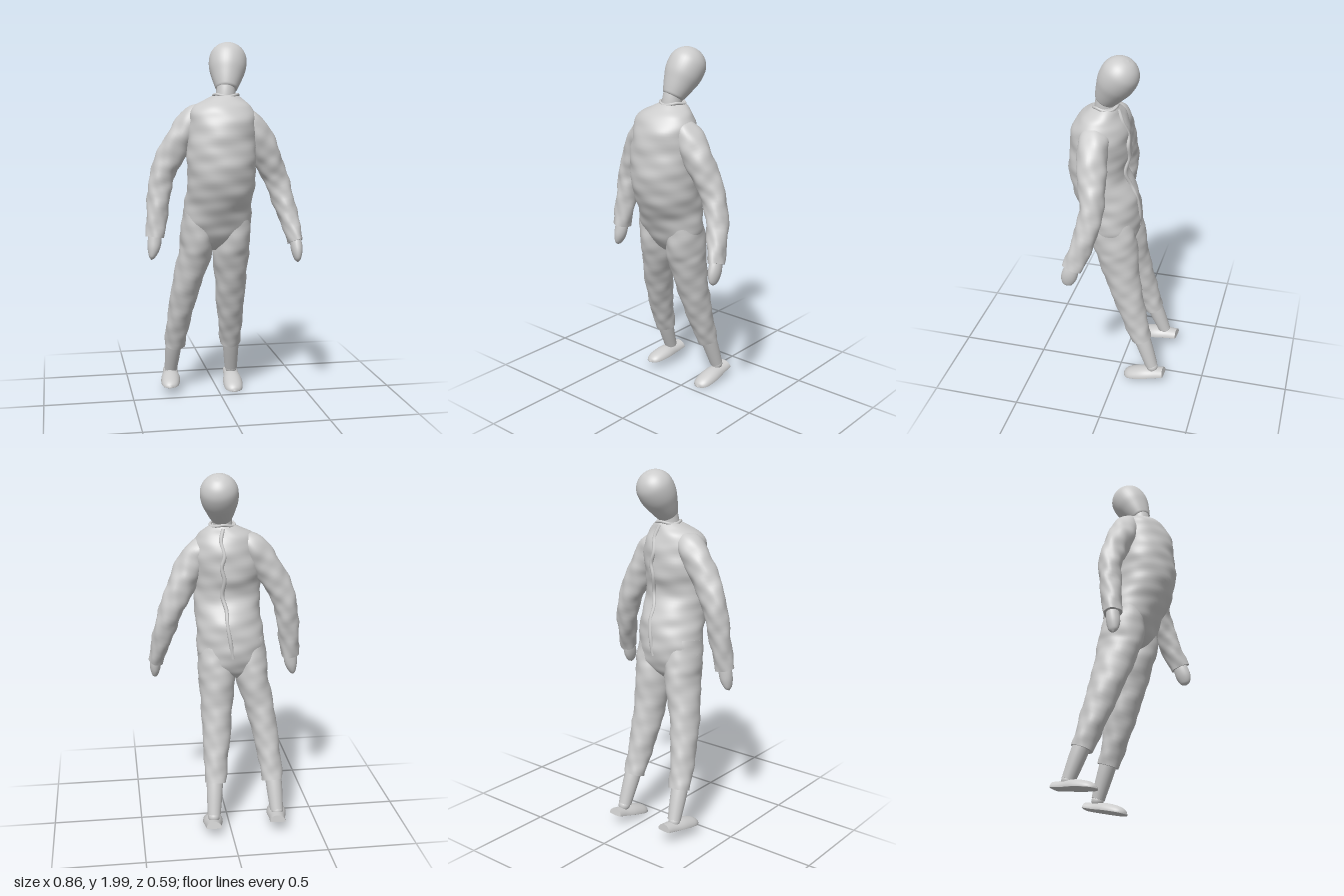
import * as THREE from 'three';

const material = new THREE.MeshStandardMaterial({ color: 0xcccccc });

// Skin elliptical sections [x, y, z, ru, rv] along a smooth path.
// level: keep rings horizontal; fold: cloth wrinkle depth; flat: flatten the underside.
function loft(name, sections, { level = false, fold = 0, flat = false, sides = 40, step = 6 } = {}) {
  const path = new THREE.CatmullRomCurve3(sections.map(s => new THREE.Vector3(s[0], s[1], s[2])), false, 'catmullrom', 0.5);
  const size = new THREE.CatmullRomCurve3(sections.map(s => new THREE.Vector3(s[3], s[4], 0)), false, 'catmullrom', 0.5);
  const rows = (sections.length - 1) * step;
  const pos = [], index = [];
  for (let i = 0; i <= rows; i++) {
    const c = path.getPoint(i / rows), r = size.getPoint(i / rows);
    const t = level ? new THREE.Vector3(0, -1, 0) : path.getTangent(i / rows);
    const u = new THREE.Vector3(1, 0, 0).addScaledVector(t, -t.x).normalize();
    const v = new THREE.Vector3().crossVectors(t, u);
    for (let j = 0; j < sides; j++) {
      const a = j / sides * Math.PI * 2;
      const w = fold * (Math.sin(3 * a + 31 * c.y) + 0.7 * Math.sin(5 * a - 47 * c.y + 1) + 0.5 * Math.sin(2 * a + 83 * c.y));
      const sn = flat && j > sides / 2 ? Math.sin(a) * 0.12 : Math.sin(a);
      const p = c.clone()
        .addScaledVector(u, Math.cos(a) * (Math.max(r.x, 0.001) + w))
        .addScaledVector(v, sn * (Math.max(r.y, 0.001) + w));
      pos.push(p.x, p.y, p.z);
      if (i < rows) {
        const k = i * sides, n = (j + 1) % sides;
        index.push(k + j, k + n, k + sides + j, k + n, k + sides + n, k + sides + j);
      }
    }
  }
  // Flat end caps with their own vertices
  for (const row of [0, rows]) {
    const base = pos.length / 3, c = path.getPoint(row / rows);
    for (let j = 0; j < sides * 3; j++) pos.push(pos[row * sides * 3 + j]);
    pos.push(c.x, c.y, c.z);
    for (let j = 0; j < sides; j++) {
      const a = base + j, b = base + (j + 1) % sides, m = base + sides;
      index.push(...(row ? [a, b, m] : [b, a, m]));
    }
  }
  const g = new THREE.BufferGeometry();
  g.setAttribute('position', new THREE.Float32BufferAttribute(pos, 3));
  g.setIndex(index);
  g.computeVertexNormals();
  const mesh = new THREE.Mesh(g, material);
  mesh.name = name;
  return mesh;
}

function tube(name, points, radius, closed = false) {
  const curve = new THREE.CatmullRomCurve3(points.map(p => new THREE.Vector3(...p)), closed);
  const mesh = new THREE.Mesh(new THREE.TubeGeometry(curve, 80, radius, 8, closed), material);
  mesh.name = name;
  return mesh;
}

export function createModel() {
  const model = new THREE.Group();
  model.name = 'mannequin';

  // Egg-shaped head leaning forward, narrowing to the chin
  const axis = new THREE.Vector3(-0.13, -0.85, 0.48).normalize();
  const headProfile = [[-0.105, 0.002], [-0.098, 0.038], [-0.075, 0.073], [-0.04, 0.096], [0, 0.103],
    [0.05, 0.099], [0.1, 0.084], [0.15, 0.066], [0.172, 0.054], [0.178, 0.03]];
  model.add(loft('head', headProfile.map(([t, r]) =>
    [0.037 + axis.x * t, 1.895 + axis.y * t, axis.z * t, r, r])));
  model.add(loft('neck', [[0.014, 1.78, 0.075, 0.05, 0.05], [0.01, 1.73, 0.085, 0.052, 0.052], [0.005, 1.66, 0.09, 0.056, 0.056]]));

  // Suit body: full chest, pulled in at the back of the waist
  model.add(loft('suitBody', [
    [0.012, 1.715, 0.08, 0.065, 0.062],
    [0, 1.69, 0.09, 0.105, 0.09],
    [-0.015, 1.65, 0.105, 0.16, 0.122],
    [-0.012, 1.58, 0.112, 0.182, 0.155],
    [-0.02, 1.45, 0.118, 0.187, 0.167],
    [-0.02, 1.33, 0.13, 0.186, 0.16],
    [-0.02, 1.2, 0.09, 0.184, 0.176],
    [-0.03, 1.1, 0.055, 0.187, 0.16],
    [-0.035, 1.0, 0.035, 0.193, 0.138],
    [-0.042, 0.92, 0.022, 0.165, 0.105],
    [-0.05, 0.865, 0.015, 0.08, 0.05],
  ], { level: true, fold: 0.0025, sides: 64, step: 8 }));

  // Collar and the gathered closure down the back
  const collar = [];
  for (let i = 0; i < 12; i++) {
    const a = i / 12 * Math.PI * 2;
    collar.push([0.011 + 0.067 * Math.cos(a), 1.713 + 0.006 * Math.sin(3 * a), 0.081 + 0.064 * Math.sin(a)]);
  }
  model.add(tube('collar', collar, 0.008, true));
  model.add(tube('backClosure', [[0.015, 1.7, 0.01], [0.03, 1.64, -0.015], [0.015, 1.56, -0.043], [0.03, 1.5, -0.046],
    [0.015, 1.43, -0.047], [0.025, 1.34, -0.028], [0.005, 1.26, -0.055], [0.005, 1.2, -0.083],
    [-0.01, 1.1, -0.102], [-0.025, 1.0, -0.1]], 0.011));

  // The pose differs on each side, so every limb has its own path
  const limbs = {
    right: {
      sleeve: [[-0.08, 1.63, 0.075, 0.04, 0.05], [-0.15, 1.595, 0.065, 0.072, 0.078], [-0.22, 1.5, 0.06, 0.079, 0.075],
        [-0.29, 1.385, 0.05, 0.075, 0.066], [-0.335, 1.28, 0.045, 0.066, 0.062], [-0.356, 1.15, 0.055, 0.062, 0.058],
        [-0.38, 0.95, 0.08, 0.051, 0.05]],
      hand: [[-0.378, 0.98, 0.078, 0.033, 0.033], [-0.382, 0.93, 0.083, 0.038, 0.036], [-0.389, 0.885, 0.088, 0.033, 0.036],
        [-0.398, 0.845, 0.092, 0.018, 0.025], [-0.403, 0.828, 0.094, 0.003, 0.004]],
      trouser: [[-0.13, 1.08, 0.05, 0.09, 0.11], [-0.14, 0.95, 0.03, 0.093, 0.125], [-0.148, 0.85, 0.01, 0.09, 0.12],
        [-0.185, 0.7, -0.02, 0.081, 0.1], [-0.213, 0.55, -0.06, 0.072, 0.085], [-0.235, 0.4, -0.105, 0.064, 0.07],
        [-0.246, 0.28, -0.145, 0.06, 0.057]],
      shin: [[-0.248, 0.34, -0.128, 0.047, 0.047], [-0.255, 0.24, -0.165, 0.045, 0.045], [-0.262, 0.12, -0.21, 0.037, 0.036]],
      ankle: [-0.265, 0.115, -0.213],
      foot: [[-0.255, 0.085, -0.293, 0.043, 0.036], [-0.262, 0.076, -0.23, 0.046, 0.042], [-0.27, 0.068, -0.16, 0.055, 0.047],
        [-0.28, 0.058, -0.09, 0.05, 0.038], [-0.285, 0.053, -0.055, 0.033, 0.023], [-0.286, 0.051, -0.04, 0.005, 0.005]],
    },
    left: {
      sleeve: [[0.07, 1.61, 0.1, 0.04, 0.05], [0.135, 1.565, 0.11, 0.072, 0.078], [0.2, 1.46, 0.108, 0.079, 0.08],
        [0.245, 1.36, 0.095, 0.076, 0.074], [0.295, 1.25, 0.085, 0.067, 0.064], [0.342, 1.1, 0.11, 0.058, 0.062],
        [0.385, 0.92, 0.172, 0.04, 0.055]],
      hand: [[0.382, 0.95, 0.165, 0.028, 0.036], [0.387, 0.9, 0.18, 0.032, 0.043], [0.389, 0.86, 0.192, 0.028, 0.042],
        [0.39, 0.825, 0.2, 0.017, 0.028], [0.39, 0.81, 0.203, 0.003, 0.004]],
      trouser: [[0.06, 1.08, 0.05, 0.092, 0.11], [0.058, 0.95, 0.03, 0.1, 0.125], [0.052, 0.85, 0.01, 0.103, 0.12],
        [0.058, 0.7, -0.02, 0.089, 0.1], [0.063, 0.55, -0.06, 0.08, 0.085], [0.073, 0.4, -0.105, 0.067, 0.07],
        [0.08, 0.28, -0.145, 0.06, 0.057]],
      shin: [[0.082, 0.34, -0.128, 0.047, 0.047], [0.088, 0.24, -0.165, 0.045, 0.045], [0.097, 0.11, -0.21, 0.037, 0.036]],
      ankle: [0.099, 0.1, -0.215],
      foot: [[0.106, 0.066, -0.288, 0.043, 0.036], [0.103, 0.051, -0.23, 0.046, 0.042], [0.098, 0.035, -0.16, 0.056, 0.048],
        [0.092, 0.018, -0.09, 0.053, 0.04], [0.09, 0.01, -0.055, 0.035, 0.025], [0.09, 0.007, -0.04, 0.005, 0.005]],
    },
  };

  for (const [side, limb] of Object.entries(limbs)) {
    const arm = new THREE.Group();
    arm.name = side + 'Arm';
    arm.add(loft('sleeve', limb.sleeve, { fold: 0.0025, step: 8 }), loft('hand', limb.hand, { sides: 24 }));

    const leg = new THREE.Group();
    leg.name = side + 'Leg';
    const ankle = new THREE.Mesh(new THREE.SphereGeometry(0.033, 24, 16), material);
    ankle.name = 'ankle';
    ankle.position.set(...limb.ankle);
    leg.add(loft('trouser', limb.trouser, { fold: 0.002, step: 8 }), loft('shin', limb.shin),
      ankle, loft('foot', limb.foot, { flat: true }));
    model.add(arm, leg);
  }
  return model;
}
